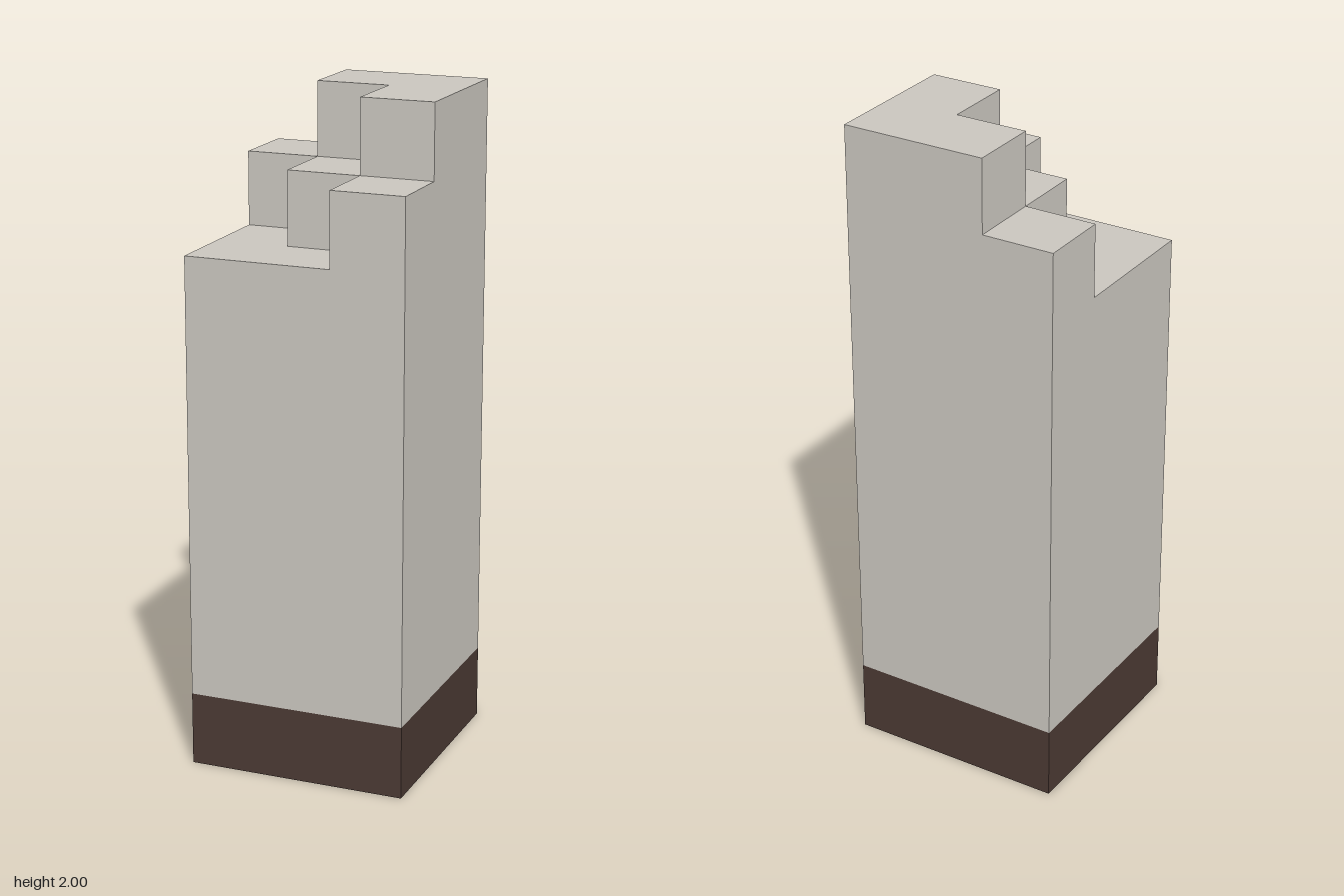
import * as THREE from 'three';

const U = 2 / 9;      // one block unit
const H = 1.5 * U;    // half the width of the pillar

export function createModel() {
  const stone = new THREE.MeshStandardMaterial({ color: 0xc9c5be });
  stone.name = 'paleStone';
  const dark = new THREE.MeshStandardMaterial({ color: 0x4a3933 });
  dark.name = 'darkBrown';

  const model = new THREE.Group();
  model.name = 'brokenPillar';

  const add = (name, geometry, material, y) => {
    const mesh = new THREE.Mesh(geometry, material);
    mesh.name = name;
    mesh.position.y = y;
    model.add(mesh);
  };

  // Plinth and square shaft
  add('base', new THREE.BoxGeometry(3 * U, U, 3 * U), dark, U / 2);
  add('shaft', new THREE.BoxGeometry(3 * U, 6 * U, 3 * U), stone, 4 * U);

  // Stepped triangular layer, n blocks wide, in the back left corner
  const steppedLayer = (n) => {
    const shape = new THREE.Shape();
    shape.moveTo(H, H);
    shape.lineTo(H - n * U, H);
    for (let i = 1; i <= n; i++) {
      shape.lineTo(H - (n - i + 1) * U, H - i * U);
      shape.lineTo(H - (n - i) * U, H - i * U);
    }
    return new THREE.ExtrudeGeometry(shape, { depth: U, bevelEnabled: false }).rotateX(-Math.PI / 2);
  };

  // Broken top
  add('lowerBrokenLayer', steppedLayer(3), stone, 7 * U);
  add('upperBrokenLayer', steppedLayer(2), stone, 8 * U);

  return model;
}
